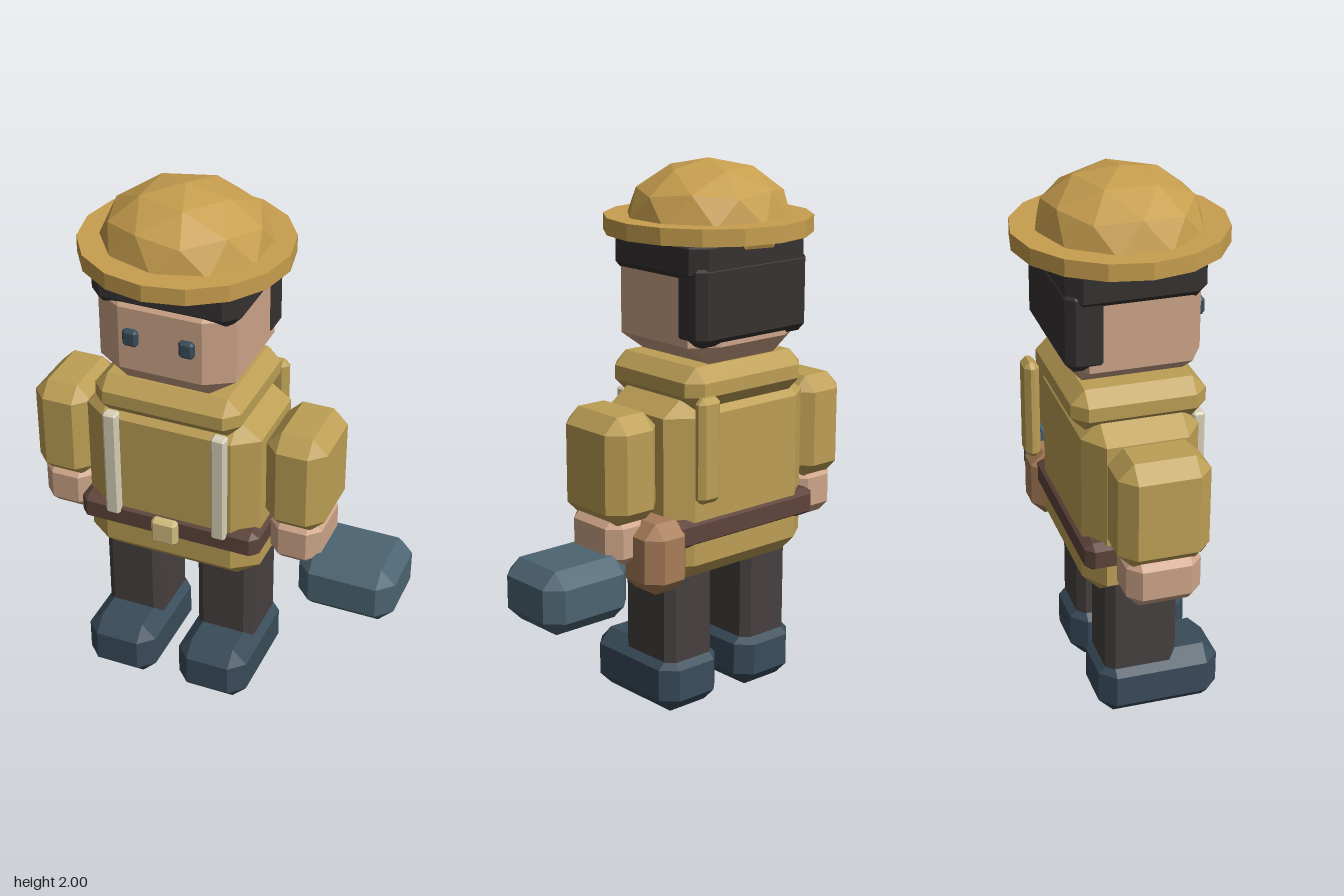
import * as THREE from 'three';
import { ConvexGeometry } from 'three/addons/geometries/ConvexGeometry.js';

const CX = -0.135; // the figure stands left of the origin, the held block balances it

const COLORS = {
  hat: 0xc79e4e, shirt: 0xbd9f55, skin: 0xcda488, hair: 0x353231, trousers: 0x46403f,
  boot: 0x394c5a, block: 0x4c6472, belt: 0x5e443b, strap: 0xd8d0b8, buckle: 0xd4bd80, pouch: 0xa87c58,
};
const materials = {};
for (const key in COLORS) {
  materials[key] = new THREE.MeshStandardMaterial({ color: COLORS[key], flatShading: true });
}

// Box with all edges and corners cut; bevel is one number or [x, y, z]
function chamferBox(w, h, d, bevel) {
  const b = Array.isArray(bevel) ? bevel : [bevel, bevel, bevel];
  const half = [w / 2, h / 2, d / 2];
  const points = [];
  for (const sx of [-1, 1]) for (const sy of [-1, 1]) for (const sz of [-1, 1]) {
    const s = [sx, sy, sz];
    for (let axis = 0; axis < 3; axis++) {
      const p = half.map((v, i) => s[i] * (i === axis ? v : v - b[i]));
      points.push(new THREE.Vector3(...p));
    }
  }
  return new ConvexGeometry(points);
}

export function createModel() {
  const model = new THREE.Group();
  model.name = 'blockFigure';

  const add = (name, geometry, color, x, y, z) => {
    const mesh = new THREE.Mesh(geometry, materials[color]);
    mesh.name = name;
    mesh.position.set(x, y, z);
    model.add(mesh);
    return mesh;
  };
  // Chamfered box given by its extents along each axis
  const block = (name, color, [x0, x1], [y0, y1], [z0, z1], bevel) =>
    add(name, chamferBox(x1 - x0, y1 - y0, z1 - z0, bevel), color,
      (x0 + x1) / 2, (y0 + y1) / 2, (z0 + z1) / 2);
  const around = (c, r) => [c - r, c + r];

  // Limbs, mirrored about the body axis
  for (const [side, s] of [['left', 1], ['right', -1]]) {
    const legX = CX + s * 0.187, armX = CX + s * 0.455;
    block(side + 'Boot', 'boot', around(legX, 0.138), [0, 0.23], [-0.157, 0.295], 0.055);
    block(side + 'Leg', 'trousers', around(legX, 0.112), [0.17, 0.62], [-0.133, 0.133], 0.03);
    block(side + 'Arm', 'shirt', around(armX, 0.113), [0.77, 1.165], [-0.162, 0.162], 0.055);
    block(side + 'Hand', 'skin', around(armX, 0.098), [0.61, 0.81], [-0.13, 0.135], 0.045);
    block(side + 'Strap', 'strap', around(CX + s * 0.208, 0.027), [0.73, 1.165], [0.195, 0.24], 0.008);
    block(side + 'Eye', 'boot', around(CX + s * 0.104, 0.028), [1.483, 1.547], [0.236, 0.266], 0.01);
  }

  // Torso and clothing
  block('torso', 'shirt', around(CX, 0.337), [0.525, 1.2], [-0.21, 0.21], [0.09, 0.065, 0.065]);
  block('collar', 'shirt', around(CX, 0.278), [1.16, 1.31], [-0.24, 0.24], 0.05);
  block('belt', 'belt', around(CX, 0.352), [0.66, 0.765], [-0.222, 0.222], [0.03, 0.02, 0.03]);
  block('buckle', 'buckle', around(CX, 0.05), [0.66, 0.76], [0.215, 0.257], 0.012);
  block('backStrip', 'shirt', around(0.1, 0.05), [0.84, 1.22], [-0.29, -0.235], 0.02);

  // Carried items
  block('hipPouch', 'pouch', [0.14, 0.33], [0.52, 0.78], [-0.243, -0.03], 0.05);
  block('heldBlock', 'block', [0.34, 0.705], [0.44, 0.67], [-0.157, 0.157], 0.055);

  // Head and hair
  block('head', 'skin', around(CX, 0.255), [1.31, 1.69], [-0.24, 0.24], [0.1, 0.07, 0.06]);
  block('hairCap', 'hair', around(CX, 0.275), [1.59, 1.78], [-0.255, 0.235], 0.05);
  block('backHair', 'hair', around(CX, 0.262), [1.385, 1.68], [-0.258, -0.11], 0.03);

  // Hat: sixteen-sided brim and a squashed faceted dome with a corner at the top
  add('hatBrim', new THREE.CylinderGeometry(0.375, 0.375, 0.06, 16), 'hat', CX, 1.773, 0);
  const dome = new THREE.IcosahedronGeometry(1, 1);
  dome.rotateZ(-Math.atan(2 / (1 + Math.sqrt(5))));
  dome.scale(0.305, 0.21, 0.295);
  dome.computeVertexNormals();
  add('hatDome', dome, 'hat', CX, 1.79, 0);

  return model;
}
